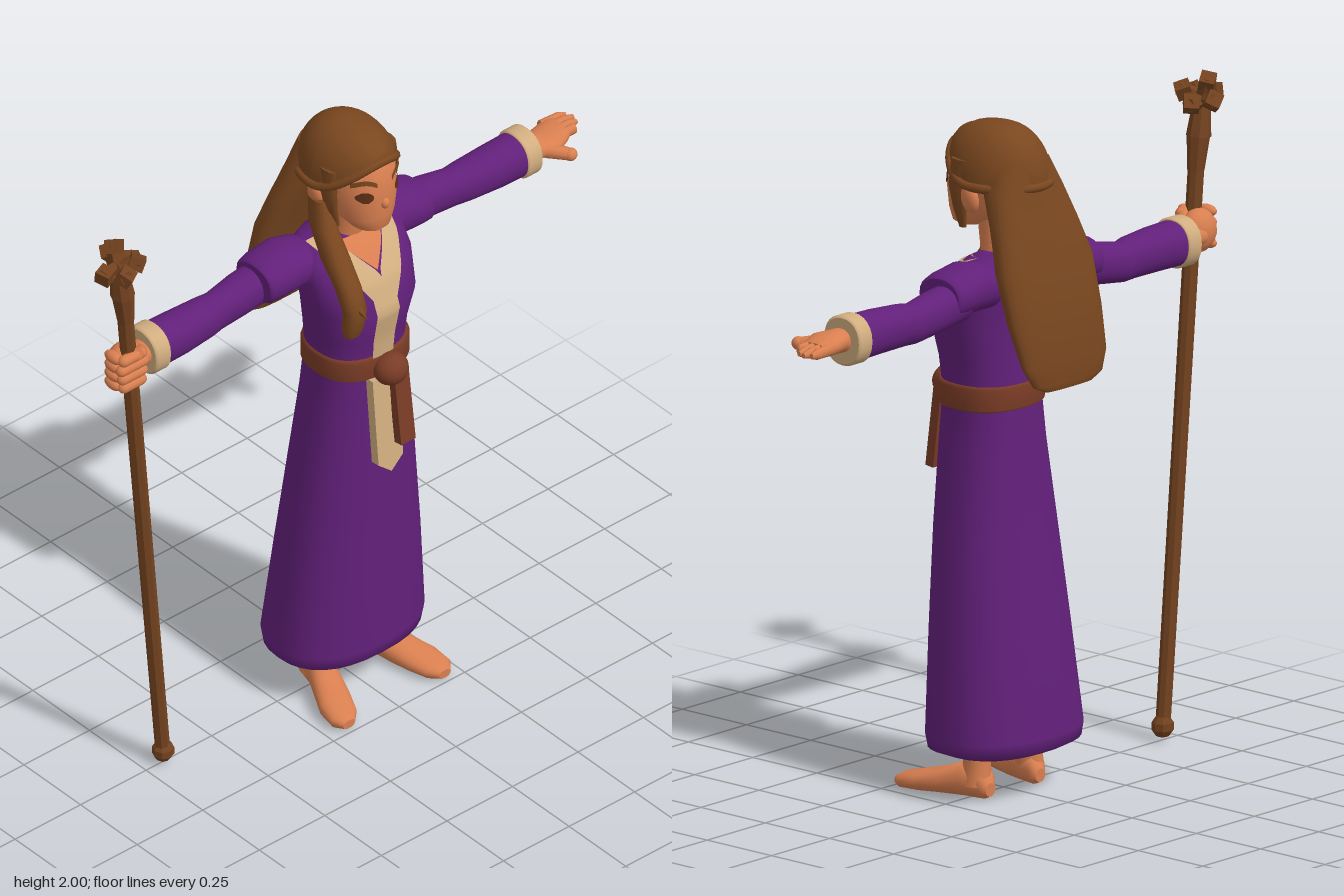
import * as THREE from 'three';

const mat = (name, color, side = THREE.FrontSide) => {
  const m = new THREE.MeshStandardMaterial({ color, side });
  m.name = name;
  return m;
};

// Superellipse tube through rings [t, a, b, ra, rb] along the x, y or z axis, capped at both ends
function loft(rings, axis = 'y', p = 2.2, n = 24) {
  const pos = [], idx = [];
  const place = { x: (t, a, b) => [t, a, b], y: (t, a, b) => [a, t, b], z: (t, a, b) => [a, b, t] }[axis];
  const pw = v => Math.sign(v) * Math.abs(v) ** (2 / p);
  const flip = (axis !== 'y') !== (rings[rings.length - 1][0] < rings[0][0]);
  const tri = (a, b, c) => idx.push(...(flip ? [a, c, b] : [a, b, c]));
  const ring = ([t, a, b, ra, rb]) => {
    for (let i = 0; i < n; i++) {
      const w = i / n * Math.PI * 2;
      pos.push(...place(t, a + ra * pw(Math.cos(w)), b + rb * pw(Math.sin(w))));
    }
  };
  rings.forEach(ring);
  for (let j = 0; j < rings.length - 1; j++) for (let i = 0; i < n; i++) {
    const k = (i + 1) % n, a = j * n, b = a + n;
    tri(a + i, b + i, a + k);
    tri(a + k, b + i, b + k);
  }
  [rings[0], rings[rings.length - 1]].forEach((r, end) => {
    const base = pos.length / 3;
    ring(r);
    pos.push(...place(r[0], r[1], r[2]));
    for (let i = 0; i < n; i++) {
      const k = base + (i + 1) % n;
      if (end) tri(base + i, base + n, k); else tri(base + i, k, base + n);
    }
  });
  return build(pos, idx);
}

function build(pos, idx) {
  const g = new THREE.BufferGeometry();
  g.setAttribute('position', new THREE.Float32BufferAttribute(pos, 3));
  g.setIndex(idx);
  g.computeVertexNormals();
  return g;
}

// Front z of a vertical loft at (x, y)
function frontZ(rings, x, y, p) {
  let j = 0;
  while (j < rings.length - 2 && rings[j + 1][0] < y) j++;
  const f = Math.min(1, Math.max(0, (y - rings[j][0]) / (rings[j + 1][0] - rings[j][0])));
  const [, a, b, ra, rb] = rings[j].map((v, i) => v + (rings[j + 1][i] - v) * f);
  return b + rb * Math.max(0, 1 - Math.abs((x - a) / ra) ** p) ** (1 / p);
}

// Thin surface laid on the front of a loft; f(u, v) gives [x, y]
function patch(rings, p, f, off = 0.006, n = 10) {
  const pos = [], idx = [];
  for (let j = 0; j <= n; j++) for (let i = 0; i <= n; i++) {
    const [x, y] = f(i / n, j / n);
    pos.push(x, y, frontZ(rings, x, y, p) + off);
  }
  for (let j = 0; j < n; j++) for (let i = 0; i < n; i++) {
    const a = j * (n + 1) + i, b = a + n + 1;
    idx.push(a, a + 1, b + 1, a, b + 1, b);
  }
  return build(pos, idx);
}

const ROBE = [[.135, .005, -.01, .21, .15], [.15, .007, -.01, .245, .178], [.19, .008, -.01, .252, .184],
  [.5, .012, .005, .225, .165], [.8, .014, .02, .193, .148], [1.05, .015, .03, .157, .137], [1.2, .017, .03, .142, .128],
  [1.3, .017, .035, .152, .132], [1.4, .018, .045, .17, .142], [1.5, .016, .025, .185, .125],
  [1.57, .015, -.01, .185, .105], [1.605, .015, -.02, .14, .08], [1.62, .015, -.02, .07, .05]];
const HEAD = [[1.675, .012, .12, .03, .03], [1.69, .012, .1, .06, .065], [1.73, .012, .06, .09, .11],
  [1.8, .012, .04, .105, .135], [1.88, .012, .02, .11, .145], [1.94, .012, .01, .09, .12], [1.97, .012, .005, .05, .07]];

export function createModel() {
  const root = new THREE.Group();
  const skin = mat('skin', 0xd97f50), purple = mat('purple cloth', 0x62207a), hair = mat('hair', 0x7a471f, THREE.DoubleSide),
    cream = mat('cream trim', 0xd2ae80, THREE.DoubleSide), leather = mat('belt leather', 0x7a3c26),
    wood = mat('staff wood', 0x73421f), dark = mat('eye brown', 0x5a2f16, THREE.DoubleSide);
  wood.flatShading = true;
  const add = (name, geo, m, x = 0, y = 0, z = 0) => {
    const o = new THREE.Mesh(geo, m);
    o.name = name;
    o.position.set(x, y, z);
    root.add(o);
    return o;
  };
  const ball = (name, m, x, y, z, a, b, c) => {
    const o = add(name, new THREE.SphereGeometry(1, 16, 12), m, x, y, z);
    o.scale.set(a, b, c);
    return o;
  };
  const rod = (name, m, from, to, r, r2 = r, n = 8) => {
    const a = new THREE.Vector3(...from), d = new THREE.Vector3(...to).sub(a);
    const o = add(name, new THREE.CylinderGeometry(r2, r, d.length(), n), m);
    o.position.copy(a).addScaledVector(d, .5);
    o.quaternion.setFromUnitVectors(new THREE.Vector3(0, 1, 0), d.normalize());
    return o;
  };

  // Robe with neck opening, collar and front strip
  add('robe', loft(ROBE, 'y', 2.4, 32), purple);
  const cx = .015;
  add('neckOpening', patch(ROBE, 2.4, (u, v) => [cx + (u - .5) * .17 * v, 1.52 + v * .09], .004), skin);
  for (const s of [-1, 1]) add('collar', patch(ROBE, 2.4, (u, v) => {
    const k = s > 0 ? u : 1 - u, inner = Math.max(0, v * .18 - .08) * .85, outer = .038 + v * .11;
    return [cx + s * (inner + (outer - inner) * k), 1.435 + v * .178];
  }, .009), cream);
  add('frontStrip', patch(ROBE, 2.4, (u, v) => [.01 + (u - .5) * (.075 + .01 * v), 1.2 + v * .25], .008), cream);

  // Hanging sash end and belt
  const sash = new THREE.Shape([[-.047, 0], [-.047, -.29], [0, -.33], [.047, -.29], [.047, 0]].map(q => new THREE.Vector2(...q)));
  add('sashEnd', new THREE.ExtrudeGeometry(sash, { depth: .03, bevelEnabled: false }), cream, .002, 1.165, .155).rotation.x = -.09;
  add('belt', loft([[1.16, .018, .034, .148, .132], [1.167, .018, .034, .156, .14], [1.228, .018, .034, .156, .14],
    [1.236, .018, .034, .148, .132]], 'y', 2.4, 32), leather);
  ball('beltKnot', leather, .02, 1.19, .19, .055, .05, .05);
  add('beltEnd', new THREE.BoxGeometry(.055, .25, .03), leather, .045, 1.06, .208).rotation.x = -.13;

  // Arms, the same on both sides
  for (const s of [-1, 1]) {
    const arm = (name, rings, m) => add(name, loft(rings.map(([t, ...r]) => [t * s, ...r]), 'x'), m, .003);
    arm('shoulderCap', [[.13, 1.54, -.035, .065, .08], [.2, 1.55, -.035, .073, .09], [.27, 1.543, -.035, .068, .09],
      [.305, 1.538, -.035, .063, .084], [.312, 1.537, -.035, .057, .075]], purple);
    arm('sleeve', [[.25, 1.522, -.05, .06, .062], [.36, 1.508, -.05, .062, .058], [.45, 1.493, -.05, .06, .05],
      [.49, 1.496, -.045, .062, .057], [.6, 1.498, -.04, .066, .065], [.7, 1.498, -.04, .068, .067]], purple);
    arm('cuff', [[.682, 1.498, -.04, .07, .068], [.687, 1.498, -.04, .075, .073], [.732, 1.498, -.04, .075, .073],
      [.738, 1.498, -.04, .068, .066]], cream);
    arm('wrist', [[.7, 1.5, -.035, .036, .04], [.76, 1.5, -.033, .035, .042], [.8, 1.5, -.03, .03, .045]], skin);
    // Bare foot and ankle
    const h = s > 0 ? .125 : -.09, d = s > 0 ? .06 : -.09;
    const foot = [[-.062, 0, .03, .02, .02], [-.045, 0, .045, .037, .043], [.02, .15, .055, .045, .053], [.08, .4, .043, .053, .041],
      [.15, .75, .034, .058, .032], [.21, .95, .027, .048, .025], [.238, 1, .022, .022, .014]];
    add('foot', loft(foot.map(([t, k, ...r]) => [t, h + d * k, ...r]), 'z'), skin);
    add('ankle', loft([[.04, h + d * .1, -.01, .042, .047], [.12, h, -.01, .037, .04], [.22, h, -.01, .042, .045]]), skin);
  }

  // Open left hand
  add('palm', loft([[.75, 1.5, -.03, .033, .045], [.8, 1.5, -.028, .032, .06], [.85, 1.5, -.045, .025, .055],
    [.87, 1.5, -.05, .02, .048]], 'x'), skin);
  [-.088, -.065, -.042, -.019].forEach((z, i) => add('finger', loft([[.83, 1.503, z, .019, .014], [.9, 1.5, z, .017, .0135],
    [[.925, .935, .928, .905][i], 1.498, z, .008, .007]], 'x', 2, 10), skin));
  rod('thumb', skin, [.775, 1.495, 0], [.818, 1.49, .055], .024, .019, 10);
  ball('thumbTip', skin, .82, 1.49, .058, .02, .02, .02);

  // Closed right hand around the staff
  ball('fistPalm', skin, -.81, 1.508, -.025, .062, .066, .048);
  [1.46, 1.492, 1.524, 1.555].forEach((y, i) => {
    const f = add('finger', new THREE.CapsuleGeometry(.018, .065 + .008 * (i % 3), 4, 10), skin, -.822, y, .022);
    f.rotation.z = Math.PI / 2;
    ball('knuckle', skin, -.863, y, -.012, .019, .018, .035);
  });
  rod('thumb', skin, [-.765, 1.53, -.01], [-.81, 1.565, .03], .022, .018, 10);

  // Staff with knobbed foot and branching head
  rod('staffShaft', wood, [-.685, .03, 0], [-.83, 1.7, 0], .022, .024);
  rod('staffNeck', wood, [-.828, 1.68, 0], [-.84, 1.79, 0], .025, .035);
  rod('staffNeck', wood, [-.84, 1.78, 0], [-.852, 1.87, 0], .037, .027);
  const knob = add('staffFoot', new THREE.SphereGeometry(.034, 8, 5), wood, -.685, .044, 0);
  knob.scale.y = 1.05;
  const core = [-.857, 1.885, 0];
  const tips = [[-.935, 1.9, .02], [-.785, 1.885, -.01], [-.85, 1.96, -.03], [-.885, 1.9, .075], [-.83, 1.9, -.075], [-.815, 1.92, .055]];
  for (const t of tips) {
    rod('staffBranch', wood, core, t, .026, .022, 6);
    const b = add('staffBranchTip', new THREE.BoxGeometry(.045, .04, .045), wood,
      ...t.map((v, i) => v + (core[i] - v) * .2));
    b.rotation.set(t[2] * 8, t[0] * 3, (t[0] - core[0]) * 6 + .4);
  }

  // Neck, head and face
  add('neck', loft([[1.56, .013, -.005, .062, .055], [1.63, .013, .01, .05, .05], [1.75, .013, .02, .052, .055]]), skin);
  add('head', loft(HEAD, 'y', 2.2, 28), skin);
  ball('nose', skin, .013, 1.785, .172, .014, .018, .014);
  for (const s of [-1, 1]) {
    ball('ear', skin, .012 + s * .122, 1.79, .01, .02, .045, .03).rotation.z = -s * .2;
    add('eye', patch(HEAD, 2.2, (u, v) => [.014 + s * .062 + (u - .5) * .044 * Math.sin(Math.PI * (.1 + .8 * v)), 1.803 + v * .036], .004), dark);
    add('eyebrow', patch(HEAD, 2.2, (u, v) => {
      const k = s > 0 ? u : 1 - u;
      return [.014 + s * (.028 + .062 * k), 1.85 + v * .016 + .014 * Math.sin(k * 3)];
    }, .005), hair);
    // Lock in front of the ear
    add('sideLock', loft([[1.69, .012 + s * .092, .065, .008, .012], [1.75, .012 + s * .108, .062, .014, .024],
      [1.82, .012 + s * .118, .06, .017, .034], [1.9, .012 + s * .11, .05, .02, .04]], 'y', 2, 10), hair);
  }

  // Hair cap: dome with a raised front edge and a rolled rim
  const rimY = z => 1.83 + .095 * Math.max(0, z) ** 2;
  const dome = new THREE.SphereGeometry(1, 32, 12, 0, Math.PI * 2, 0, Math.PI / 2), dp = dome.attributes.position;
  for (let i = 0; i < dp.count; i++) {
    const x = dp.getX(i), y = dp.getY(i), z = dp.getZ(i), len = Math.hypot(x, z) || 1, base = rimY(z / len);
    const k = len > .001 ? len ** -.12 : 1;
    dp.setXYZ(i, .01 + x * k * .137, base * (1 - y) + 2 * y - .018 * Math.exp(-((x / .07) ** 2)) * Math.max(0, z), .003 + z * k * .158);
  }
  dome.computeVertexNormals();
  add('hairCap', dome, hair);
  const rim = Array.from({ length: 32 }, (_, i) => {
    const w = i / 32 * Math.PI * 2, z = Math.cos(w);
    return new THREE.Vector3(.01 + Math.sin(w) * .136, rimY(z), .003 + z * .154);
  });
  add('hairRim', new THREE.TubeGeometry(new THREE.CatmullRomCurve3(rim, true), 64, .014, 8, true), hair);

  // Long hair down the back and a lock over the right shoulder
  add('backHair', loft([[1.24, -.03, -.226, .1, .012], [1.26, -.03, -.222, .145, .022], [1.32, -.025, -.213, .175, .032],
    [1.45, -.012, -.187, .19, .05], [1.6, -.007, -.15, .193, .06], [1.72, 0, -.115, .165, .065],
    [1.82, .008, -.08, .138, .075], [1.9, .01, -.06, .1, .08]], 'y', 2.4), hair);
  add('shoulderLock', loft([[1.38, -.125, .185, .026, .018], [1.41, -.125, .19, .035, .025], [1.48, -.125, .198, .036, .032],
    [1.54, -.122, .165, .037, .04], [1.61, -.118, .105, .038, .05], [1.7, -.115, .045, .034, .045],
    [1.78, -.11, .02, .022, .035]], 'y', 2.4, 14), hair);
  const tip = add('lockTip', new THREE.ConeGeometry(.024, .09, 8), hair, -.125, 1.49, .215);
  tip.rotation.x = 1.9;
  return root;
}
